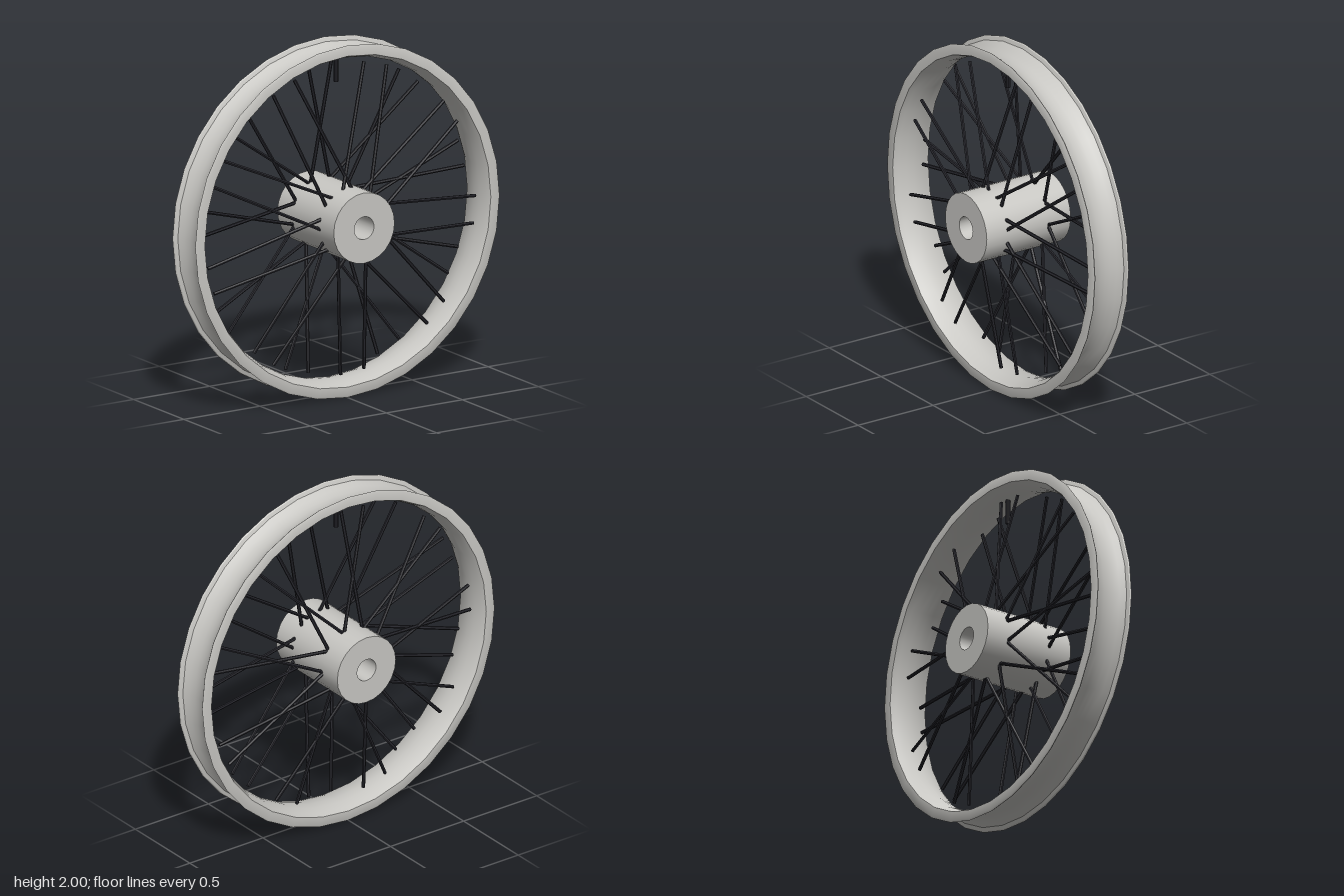
import * as THREE from 'three';
import { toCreasedNormals } from 'three/addons/utils/BufferGeometryUtils.js';

export function createModel() {
  const metal = new THREE.MeshStandardMaterial({ color: 0xc8c7c3 });
  metal.name = 'pale metal';
  const dark = new THREE.MeshStandardMaterial({ color: 0x25252b });
  dark.name = 'dark steel';

  const wheel = new THREE.Group();
  wheel.name = 'wheel';
  wheel.position.y = 1;

  // Closed [radius, z] profile revolved around the axle
  function ring(name, profile, segments) {
    const pts = [...profile, profile[0]].map(([r, z]) => new THREE.Vector2(r, z));
    const geo = toCreasedNormals(new THREE.LatheGeometry(pts, segments), 0.5);
    geo.rotateX(Math.PI / 2);
    const mesh = new THREE.Mesh(geo, metal);
    mesh.name = name;
    wheel.add(mesh);
  }

  // Rim: outer channel between two lips, slightly tapered inside
  ring('rim', [
    [0.94, -0.118], [0.99, -0.118], [1, -0.113], [0.995, -0.106], [0.975, -0.098],
    [0.955, -0.065], [0.942, -0.03], [0.94, 0], [0.942, 0.03], [0.955, 0.065],
    [0.975, 0.098], [0.995, 0.106], [1, 0.113], [0.99, 0.118], [0.94, 0.118],
    [0.928, 0.09], [0.915, 0.045], [0.91, 0], [0.915, -0.045], [0.928, -0.09],
  ], 32);

  // Hub: thick tube with an axle bore
  ring('hub', [[0.2, -0.28], [0.2, 0.28], [0.065, 0.28], [0.065, -0.28]], 24);

  // Straight rod between two points
  function rod(name, a, b, radius, sides) {
    const geo = new THREE.CylinderGeometry(radius, radius, a.distanceTo(b), sides);
    const mesh = new THREE.Mesh(toCreasedNormals(geo, 0.5), dark);
    mesh.name = name;
    mesh.position.copy(a).add(b).multiplyScalar(0.5);
    mesh.quaternion.setFromUnitVectors(new THREE.Vector3(0, 1, 0), b.clone().sub(a).normalize());
    wheel.add(mesh);
  }
  const polar = (r, degrees, z) => {
    const t = THREE.MathUtils.degToRad(degrees);
    return new THREE.Vector3(r * Math.cos(t), r * Math.sin(t), z);
  };

  // Crossed spokes: four per 40 degrees, two to each side of the hub
  const pattern = [[0, 24, 1], [10, 24, -1], [20, -24, -1], [30, -24, 1]];
  for (let k = 0; k < 9; k++) {
    for (const [offset, lean, side] of pattern) {
      const angle = k * 40 + offset;
      rod('spoke', polar(0.19, angle + lean, side * 0.137), polar(0.885, angle, side * 0.045), 0.01, 6);
    }
  }

  // Valve stem inside the top of the rim
  rod('valveStem', new THREE.Vector3(0, 0.77, 0), new THREE.Vector3(0, 0.915, 0), 0.013, 10);

  const model = new THREE.Group();
  model.name = 'spokedWheel';
  model.add(wheel);
  return model;
}
